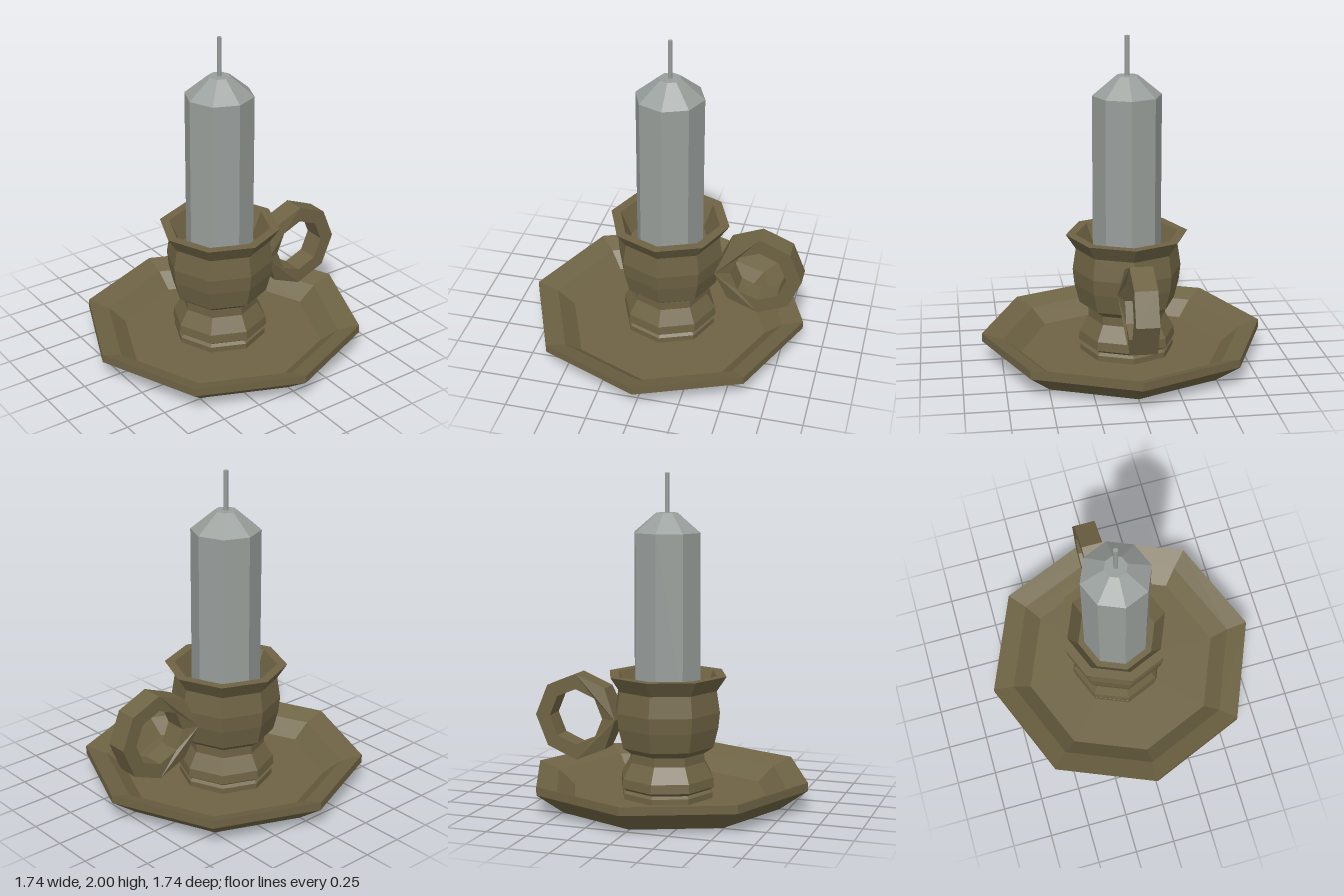
import * as THREE from 'three';

const bronze = new THREE.MeshStandardMaterial({ color: 0x6e6344 });
bronze.name = 'bronze';
const wax = new THREE.MeshStandardMaterial({ color: 0x989e9b });
wax.name = 'wax';

// Give every face its own normal
function faceted(geometry) {
  const flat = geometry.toNonIndexed();
  flat.computeVertexNormals();
  return flat;
}

// Eight-sided turned part; profile runs up the outside, then over the top
function turned(name, profile, material) {
  const points = profile.map(([r, y]) => new THREE.Vector2(r, y));
  const mesh = new THREE.Mesh(faceted(new THREE.LatheGeometry(points, 8)), material);
  mesh.name = name;
  return mesh;
}

function octagon(target, radius) {
  const pts = [];
  for (let i = 0; i < 8; i++) {
    const a = (i * Math.PI) / 4;
    pts.push(new THREE.Vector2(radius * Math.cos(a), radius * Math.sin(a)));
  }
  return target.setFromPoints(pts);
}

// Square-section ring whose outer corner widens where it joins the cup
function makeHandle() {
  const shape = octagon(new THREE.Shape(), 0.27);
  shape.holes.push(octagon(new THREE.Path(), 0.175));
  const geometry = new THREE.ExtrudeGeometry(shape, { depth: 0.136, bevelEnabled: false });
  geometry.translate(0, 0, -0.068);
  const pos = geometry.attributes.position;
  for (let i = 0; i < pos.count; i++) {
    if (pos.getX(i) < -0.25) pos.setZ(i, pos.getZ(i) * 1.47);
  }
  geometry.computeVertexNormals();
  const mesh = new THREE.Mesh(geometry, bronze);
  mesh.name = 'handle';
  mesh.position.set(0.575, 0.495, 0);
  return mesh;
}

export function createModel() {
  const model = new THREE.Group();
  model.name = 'candlestick';

  // Shallow dish
  model.add(turned('dish', [
    [0, 0], [0.7, 0], [0.87, 0.125], [0.87, 0.175],
    [0.74, 0.13], [0.63, 0.04], [0, 0.04],
  ], bronze));

  // Everything on the dish sits slightly behind its centre
  const upper = new THREE.Group();
  upper.name = 'holderAndCandle';
  upper.position.set(0.004, 0, -0.03);
  model.add(upper);

  // Foot, waist, bowl and flared rim
  upper.add(turned('cup', [
    [0.29, 0.03], [0.29, 0.075], [0.27, 0.09], [0.3, 0.11], [0.295, 0.165],
    [0.24, 0.26], [0.24, 0.315], [0.295, 0.355], [0.325, 0.475], [0.335, 0.57],
    [0.315, 0.7], [0.375, 0.79], [0.315, 0.79], [0.25, 0.64], [0, 0.64],
  ], bronze));
  upper.add(makeHandle());

  // Candle with tapered shoulder
  upper.add(turned('candle', [
    [0, 0.62], [0.21, 0.62], [0.21, 1.645], [0.068, 1.762], [0, 1.762],
  ], wax));
  upper.add(turned('wick', [[0.014, 1.75], [0.014, 2], [0, 2]], wax));

  return model;
}
